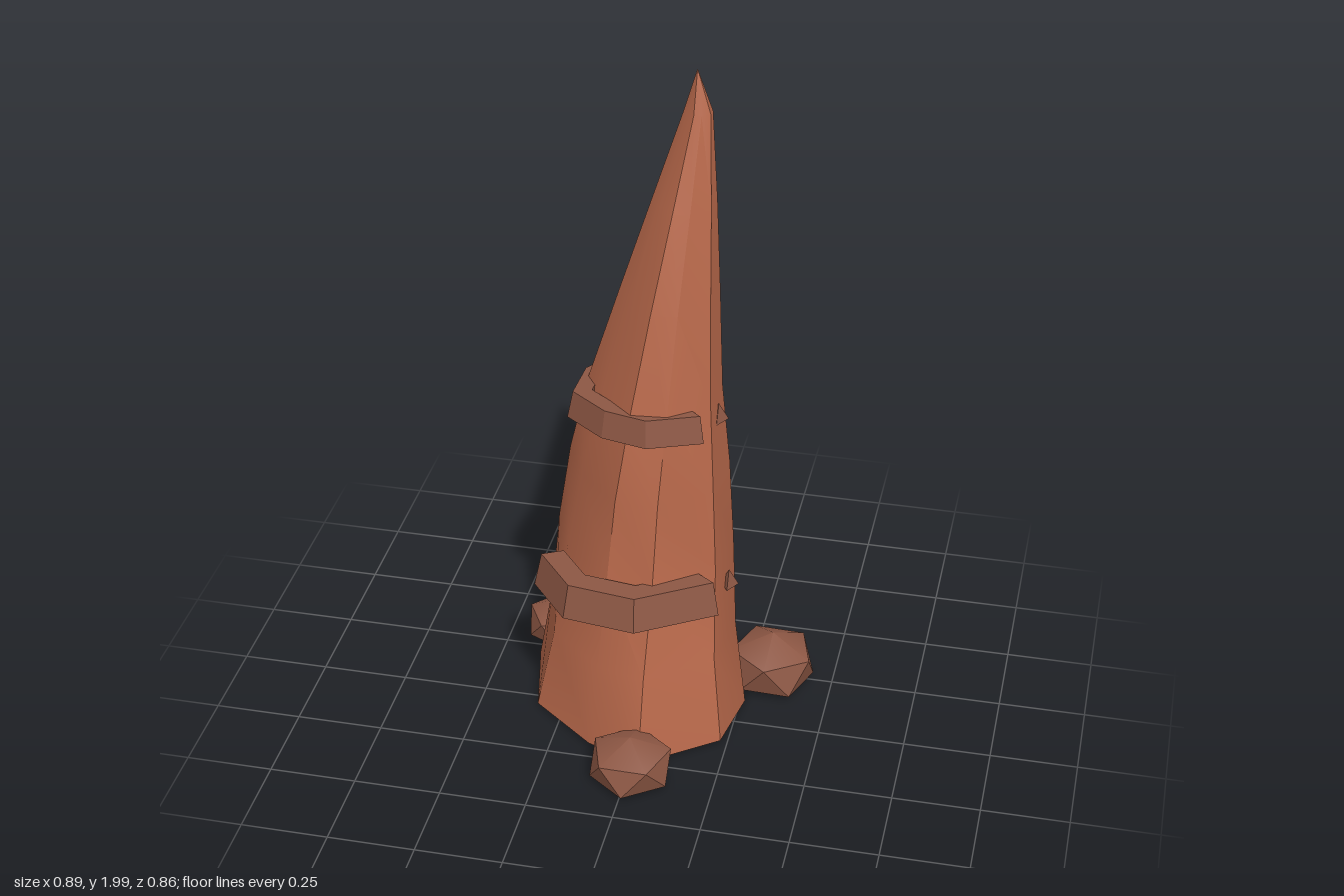
import * as THREE from 'three';
import { toCreasedNormals } from 'three/addons/utils/BufferGeometryUtils.js';

// Skins a list of equal closed loops and caps both ends
function loft(sections, crease) {
  const n = sections[0].length, last = (sections.length - 1) * n, index = [];
  for (let j = 0; j < sections.length - 1; j++) {
    for (let i = 0; i < n; i++) {
      const a = j * n + i, b = j * n + (i + 1) % n, c = b + n, d = a + n;
      index.push(a, d, c, a, c, b);
    }
  }
  for (let i = 1; i < n - 1; i++) index.push(0, i, i + 1, last, last + i + 1, last + i);
  const g = new THREE.BufferGeometry();
  g.setAttribute('position', new THREE.Float32BufferAttribute(sections.flat(2), 3));
  g.setIndex(index);
  return toCreasedNormals(g, crease);
}

// Nine-sided outlines (x, z), running back, +x, front, -x
const FOOT = [[0, -.415], [.2, -.335], [.265, -.1], [.23, .1], [.02, .255], [-.14, .19], [-.33, .04], [-.385, -.21], [-.23, -.395]];
const NECK = [[-.03, -.25], [.1, -.215], [.175, -.14], [.165, -.02], [.06, .06], [-.04, .07], [-.14, -.02], [-.2, -.11], [-.14, -.205]];

// Stretches an outline to fill 0..1 in both directions
function unit(outline) {
  const box = new THREE.Box2().setFromPoints(outline.map(p => new THREE.Vector2(...p)));
  const s = box.getSize(new THREE.Vector2());
  return outline.map(([x, z]) => [(x - box.min.x) / s.x, (z - box.min.y) / s.y]);
}

// Levels of the spire: y, min x, max x, min z, max z
const LEVELS = [
  [.012, -.385, .265, -.415, .262], [.27, -.337, .228, -.387, .215], [.54, -.31, .21, -.362, .132],
  [.8, -.265, .195, -.335, .13], [1.06, -.2, .175, -.25, .075], [1.35, -.11, .163, -.24, .03],
  [1.62, -.025, .15, -.213, -.045], [1.88, .058, .135, -.175, -.115], [2, .094, .096, -.141, -.139],
];

function spireGeometry() {
  const foot = unit(FOOT), neck = unit(NECK), lerp = THREE.MathUtils.lerp;
  return loft(LEVELS.map(([y, x0, x1, z0, z1]) => {
    const t = Math.min(y / 1.06, 1);
    return foot.map(([u, v], i) => [
      lerp(x0, x1, lerp(u, neck[i][0], t)), y, lerp(z0, z1, lerp(v, neck[i][1], t)),
    ]);
  }), .55);
}

// Ledge: a sloped strip following an outer path, sunk into the spire
function ledgeGeometry(path, y0, y1, [cx, cz], inner) {
  const at = ([x, z], k, y) => [cx + (x - cx) * k, y, cz + (z - cz) * k];
  return loft(path.map(p => [at(p, inner, y1), at(p, .93, y1), at(p, 1, y0), at(p, inner, y0)]), .2);
}

// Boulder: squashed icosahedron standing on a vertex, flattened at the ground
function boulderGeometry(r, top, turn) {
  const g = new THREE.IcosahedronGeometry(1, 0);
  g.rotateZ(-Math.atan(2 / (1 + Math.sqrt(5))));
  const p = g.attributes.position;
  let high = 0;
  for (let i = 0; i < p.count; i++) high = Math.max(high, p.getY(i));
  if (high < .99) g.rotateZ(2 * Math.atan(2 / (1 + Math.sqrt(5)))).rotateZ(0);
  g.rotateY(turn);
  g.scale(r * 1.1, top * .6, r * 1.1);
  g.translate(0, top * .4, 0);
  for (let i = 0; i < p.count; i++) p.setY(i, Math.max(p.getY(i), .006));
  g.deleteAttribute('uv');
  return toCreasedNormals(g, .7);
}

export function createModel() {
  const group = new THREE.Group();
  const clay = new THREE.MeshStandardMaterial({ color: 0xb9694b });
  const darkClay = new THREE.MeshStandardMaterial({ color: 0x8d5744 });
  const add = (name, geometry, material) => {
    const mesh = new THREE.Mesh(geometry, material);
    mesh.name = name;
    group.add(mesh);
    return mesh;
  };

  add('spire', spireGeometry(), clay);

  // Rock ledges
  add('lowerFrontLedge', ledgeGeometry(
    [[.215, .085], [0, .222], [-.21, .192], [-.33, .045]], .44, .54, [-.05, -.1], .72), darkClay);
  add('lowerBackLedge', ledgeGeometry(
    [[-.315, -.17], [-.2, -.345], [-.1, -.365]], .44, .54, [-.05, -.1], .75), darkClay);
  add('upperLedge', ledgeGeometry(
    [[.16, .05], [.01, .11], [-.12, .08], [-.238, -.01], [-.232, -.155], [-.14, -.285], [0, -.305], [.1, -.27]],
    .98, 1.06, [-.02, -.1], .7), darkClay);

  // Small chips poking out of the surface
  for (const [x, y, z] of [[.215, .465, -.07], [.175, 1.005, -.085], [.13, 1.01, -.235]]) {
    add('chip', toCreasedNormals(new THREE.ConeGeometry(.03, .055, 3), .2), darkClay).position.set(x, y, z);
  }

  // Boulders round the foot: x, z, radius, top, turn
  for (const [x, z, r, top, turn] of [
    [.01, .315, .118, .148, .3], [.322, -.23, .126, .175, .9], [-.345, -.325, .103, .13, .5],
  ]) {
    add('boulder', boulderGeometry(r, top, turn), darkClay).position.set(x, 0, z);
  }
  return group;
}
